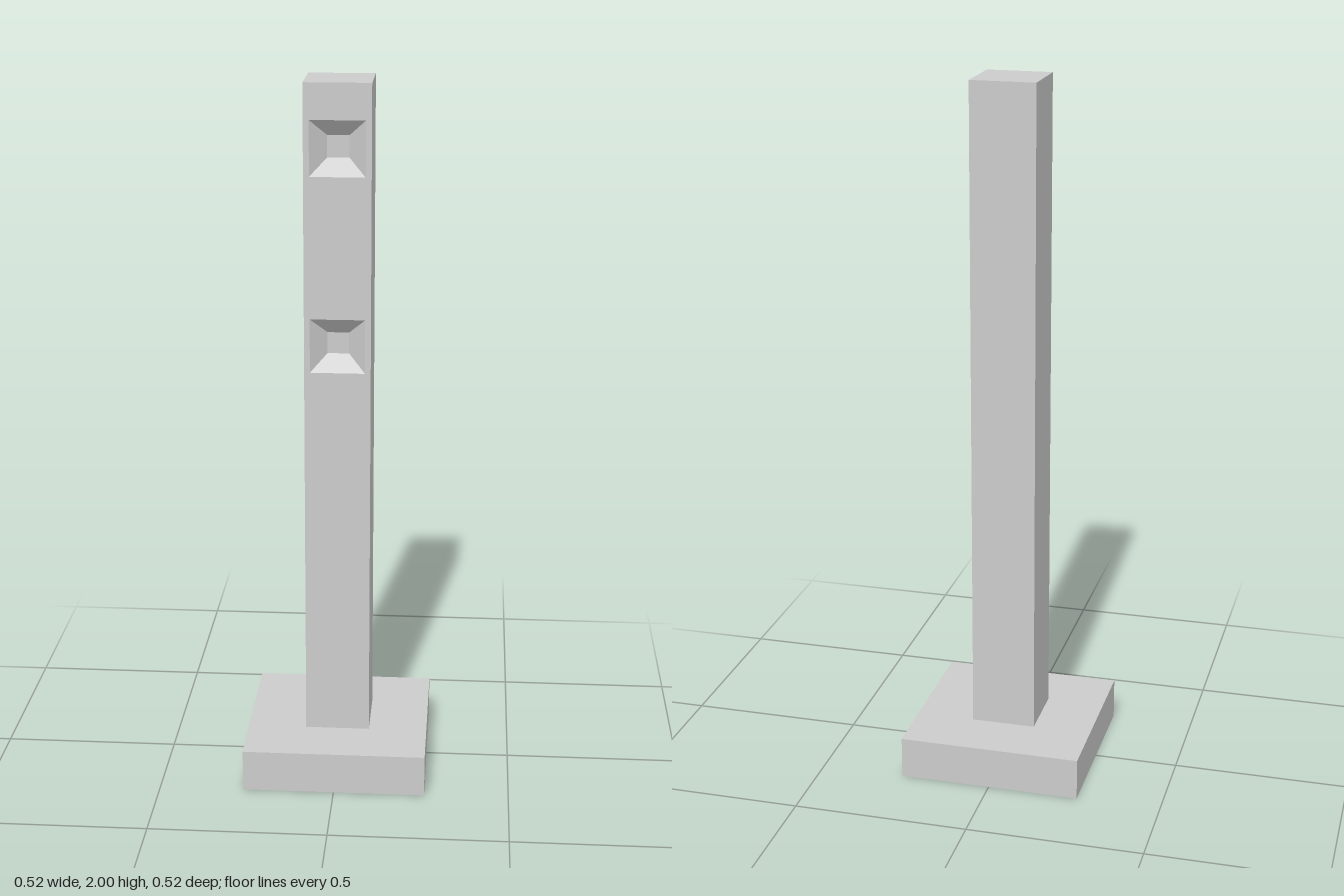
import * as THREE from 'three';
import { mergeGeometries } from 'three/addons/utils/BufferGeometryUtils.js';

const WIDTH = 0.184, HALF = WIDTH / 2;
const BASE_H = 0.12, TOP = 2;
const RECESS = { outer: 0.076, inner: 0.03, depth: 0.04 };
const RECESS_HEIGHTS = [1.28, 1.825];

// Corners of a square, counter-clockwise seen from the front
const square = (r, y) => [[-r, y - r], [r, y - r], [r, y + r], [-r, y + r]];

// Pillar: box whose front is replaced by a panel with square openings
function shaftGeometry() {
  const height = TOP - BASE_H, midY = (TOP + BASE_H) / 2;
  const box = new THREE.BoxGeometry(WIDTH, height, WIDTH).translate(0, midY, 0);
  const index = Array.from(box.index.array);
  index.splice(24, 6); // drop the front face
  box.setIndex(index);

  const panel = new THREE.Shape([[-HALF, BASE_H], [HALF, BASE_H], [HALF, TOP], [-HALF, TOP]]
    .map(([x, y]) => new THREE.Vector2(x, y)));
  for (const y of RECESS_HEIGHTS) {
    const hole = square(RECESS.outer, y).reverse().map((p) => new THREE.Vector2(...p));
    panel.holes.push(new THREE.Path(hole));
  }
  const front = new THREE.ShapeGeometry(panel).translate(0, 0, HALF);
  return mergeGeometries([box, front]);
}

// Tapered pocket: four sloping walls between two squares, plus a flat floor
function recessGeometry() {
  const rim = square(RECESS.outer, 0).map(([x, y]) => [x, y, 0]);
  const floor = square(RECESS.inner, 0).map(([x, y]) => [x, y, -RECESS.depth]);
  const positions = [];
  const quad = (a, b, c, d) => positions.push(...a, ...b, ...c, ...a, ...c, ...d);
  for (let i = 0; i < 4; i++) {
    const j = (i + 1) % 4;
    quad(rim[i], rim[j], floor[j], floor[i]);
  }
  quad(...floor);
  const geometry = new THREE.BufferGeometry();
  geometry.setAttribute('position', new THREE.Float32BufferAttribute(positions, 3));
  geometry.computeVertexNormals();
  return geometry;
}

export function createModel() {
  const group = new THREE.Group();
  group.name = 'post';
  const material = new THREE.MeshStandardMaterial({ color: 0xcccccc, flatShading: true });
  const add = (name, geometry) => {
    const mesh = new THREE.Mesh(geometry, material);
    mesh.name = name;
    group.add(mesh);
    return mesh;
  };

  // Square foot
  add('base', new THREE.BoxGeometry(0.52, BASE_H, 0.52)).position.y = BASE_H / 2;

  add('shaft', shaftGeometry());

  // Pockets in the front of the pillar
  const pocket = recessGeometry();
  RECESS_HEIGHTS.forEach((y, i) => {
    add(i === 0 ? 'lowerRecess' : 'upperRecess', pocket).position.set(0, y, HALF);
  });

  return group;
}
